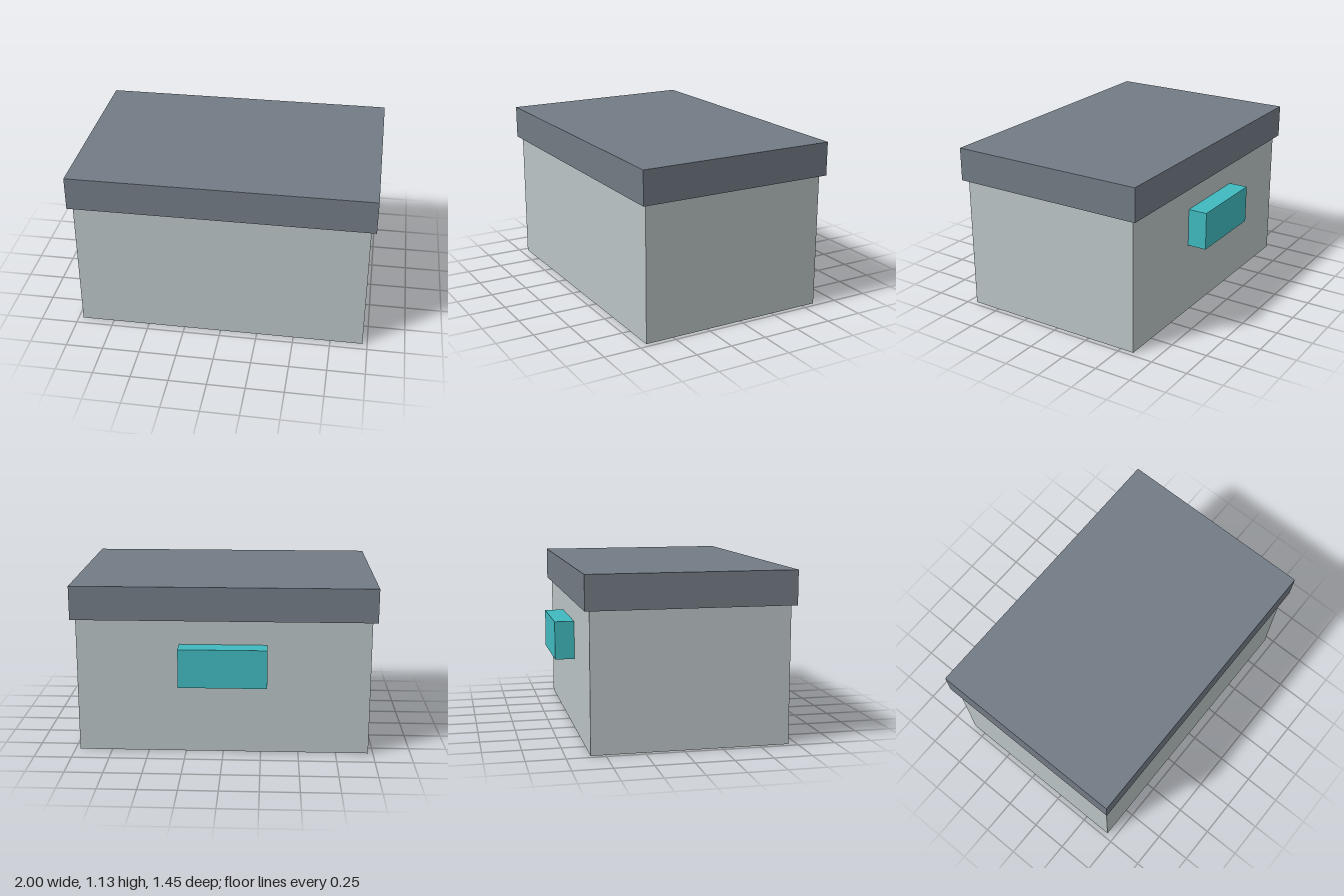
import * as THREE from 'three';

// Box given by its minimum and maximum corners
function block(name, color, [x0, y0, z0], [x1, y1, z1]) {
  const geometry = new THREE.BoxGeometry(x1 - x0, y1 - y0, z1 - z0);
  const mesh = new THREE.Mesh(geometry, new THREE.MeshStandardMaterial({ color }));
  mesh.position.set((x0 + x1) / 2, (y0 + y1) / 2, (z0 + z1) / 2);
  mesh.name = name;
  return mesh;
}

export function createModel() {
  const group = new THREE.Group();
  group.name = 'storageBox';
  group.add(
    // Box body
    block('body', 0xbac3c4, [-0.968, 0, -0.594], [0.968, 0.906, 0.694]),
    // Lid overhanging the body on all sides
    block('lid', 0x727b84, [-1, 0.906, -0.627], [1, 1.13, 0.725]),
    // Handle on the back wall
    block('handle', 0x40babf, [-0.29, 0.485, -0.725], [0.29, 0.742, -0.594]),
  );
  return group;
}
